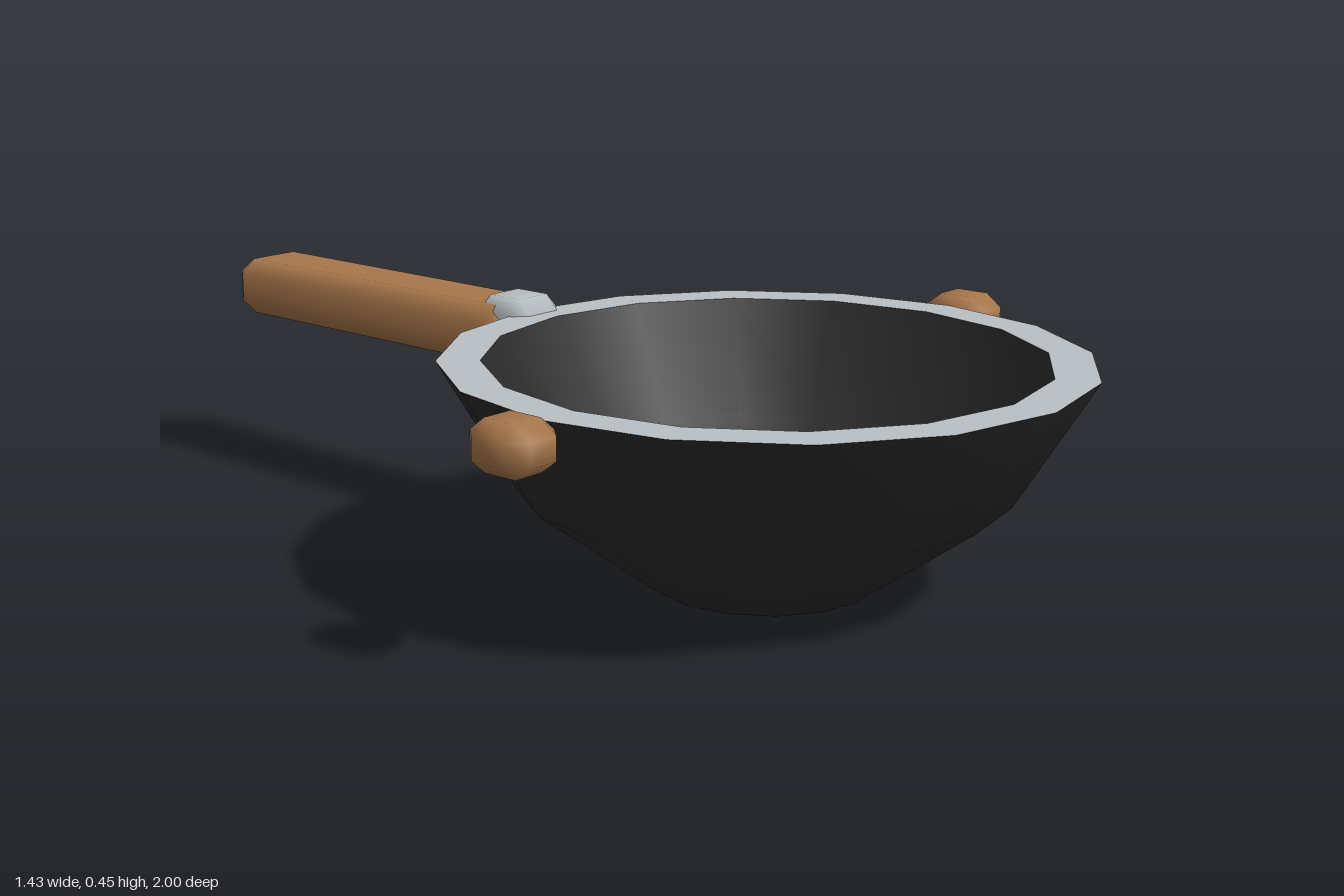
import * as THREE from 'three';
import { mergeVertices } from 'three/addons/utils/BufferGeometryUtils.js';
import { ConvexGeometry } from 'three/addons/geometries/ConvexGeometry.js';

const material = (name, color) => Object.assign(new THREE.MeshStandardMaterial({ color }), { name });

// Box with single-facet chamfers and smooth normals; c holds the chamfer per axis
function chamferBox(w, h, d, c) {
  const half = [w / 2, h / 2, d / 2], points = [];
  for (let face = 0; face < 3; face++)
    for (const sx of [-1, 1]) for (const sy of [-1, 1]) for (const sz of [-1, 1]) {
      const p = [sx, sy, sz].map((s, i) => s * (i === face ? half[i] : half[i] - c[i]));
      points.push(new THREE.Vector3(...p));
    }
  const geo = new ConvexGeometry(points);
  geo.deleteAttribute('normal');
  const merged = mergeVertices(geo, 1e-4);
  merged.computeVertexNormals();
  return merged;
}

export function createModel() {
  const iron = material('blackIron', 0x2a2a2a);
  const steel = material('paleSteel', 0xb9c0c4);
  const wood = material('wood', 0xa9774b);
  const model = new THREE.Group();
  model.name = 'pan';

  const add = (name, geo, mat, x, y, z) => {
    const mesh = new THREE.Mesh(geo, mat);
    mesh.name = name;
    mesh.position.set(x, y, z);
    model.add(mesh);
    return mesh;
  };
  const lathe = (pts) => new THREE.LatheGeometry(pts.map((p) => new THREE.Vector2(...p)), 16);
  const bowlZ = 0.405;

  // Bowl: outer and inner skins joined by a flat bare-metal rim
  add('bowlOutside', lathe([[0, 0], [0.21, 0], [0.452, 0.18], [0.595, 0.42]]), iron, 0, 0, bowlZ);
  add('bowlInside', lathe([[0.515, 0.42], [0.4, 0.21], [0.185, 0.05], [0, 0.05]]), iron, 0, 0, bowlZ);
  add('rim', lathe([[0.595, 0.42], [0.515, 0.42]]), steel, 0, 0, bowlZ);

  // Long handle and its bracket at the back
  add('handle', chamferBox(0.18, 0.12, 0.82, [0.035, 0.032, 0.045]), wood, 0, 0.375, -0.59);
  add('handleBracket', chamferBox(0.13, 0.134, 0.13, [0.026, 0.027, 0.026]), steel, 0, 0.383, -0.212);

  // Small grips on both sides
  for (const side of [-1, 1])
    add(side > 0 ? 'leftGrip' : 'rightGrip',
      chamferBox(0.12, 0.092, 0.134, [0.03, 0.025, 0.033]), wood, side * 0.655, 0.39, bowlZ - 0.003);

  return model;
}
